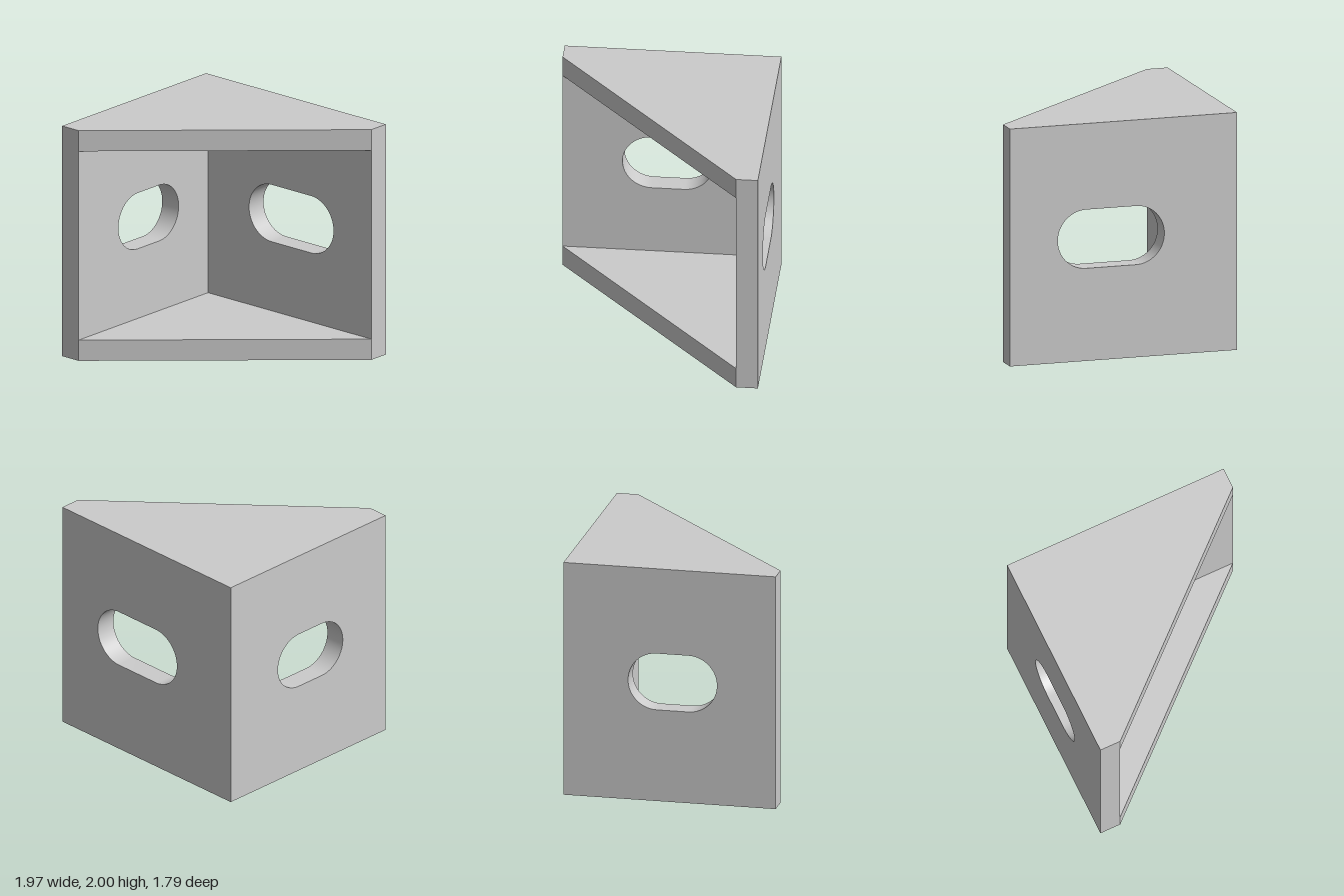
import * as THREE from 'three';
import { toCreasedNormals } from 'three/addons/utils/BufferGeometryUtils.js';

const H = 2, T = 0.18;               // height and wall thickness
const X0 = -0.985, X1 = 0.985;       // outer extents
const Z0 = -0.895, Z1 = 0.895;

const material = new THREE.MeshStandardMaterial({ color: 0xcccccc });

// Rounded slot from u0 to u1, between y0 and y1
function slotPath(u0, u1, y0, y1) {
  const r = (y1 - y0) / 2, cy = (y0 + y1) / 2;
  const p = new THREE.Path();
  p.absarc(u1 - r, cy, r, -Math.PI / 2, Math.PI / 2, false);
  p.absarc(u0 + r, cy, r, Math.PI / 2, Math.PI * 1.5, false);
  p.closePath();
  return p;
}

function extrude(points, depth, hole) {
  const shape = new THREE.Shape(points.map(([x, y]) => new THREE.Vector2(x, y)));
  if (hole) shape.holes.push(hole);
  return toCreasedNormals(
    new THREE.ExtrudeGeometry(shape, { depth, bevelEnabled: false, curveSegments: 24 }), 0.5);
}

const wall = (u0, u1, hole) => extrude([[u0, 0], [u1, 0], [u1, H], [u0, H]], T, hole);

export function createModel() {
  const group = new THREE.Group();
  group.name = 'cornerBracket';
  const add = (name, geometry) => {
    const mesh = new THREE.Mesh(geometry, material);
    mesh.name = name;
    group.add(mesh);
  };

  // Slotted back wall
  add('backWall', wall(X0, X1, slotPath(-0.355, 0.57, 0.78, 1.275)).translate(0, 0, Z0));

  // Slotted side wall, meeting the back wall at the corner
  add('sideWall', wall(Z0 + T, Z1, slotPath(-0.35, 0.4, 0.785, 1.27))
    .rotateY(-Math.PI / 2).translate(X0 + T, 0, 0));

  // Triangular gussets closing the bottom and top
  const triangle = [[X0 + T, Z0 + T], [X1, Z0 + T], [X0 + T, Z1]];
  for (const [name, top] of [['bottomGusset', T], ['topGusset', H]]) {
    add(name, extrude(triangle, T).rotateX(Math.PI / 2).translate(0, top, 0));
  }
  return group;
}
